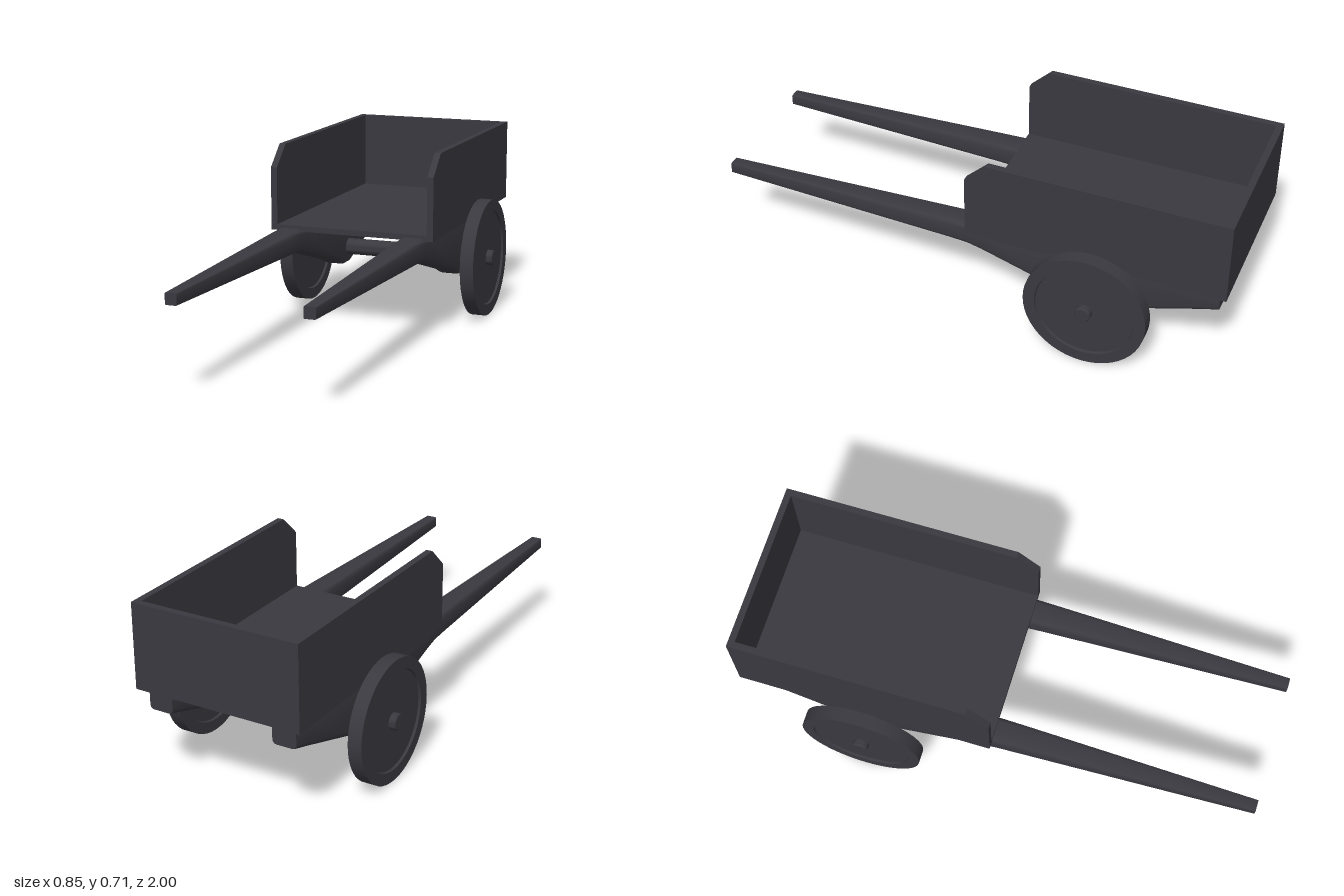
import * as THREE from 'three';
import { toCreasedNormals } from 'three/addons/utils/BufferGeometryUtils.js';

const AXLE_Y = 0.234, AXLE_Z = -0.505;

// Rounded rectangle ring, counter-clockwise seen from +z
function ring({ z, x0, x1, y0, y1, r }) {
  const points = [];
  const corners = [[x1 - r, y0 + r, -90], [x1 - r, y1 - r, 0], [x0 + r, y1 - r, 90], [x0 + r, y0 + r, 180]];
  for (const [cx, cy, start] of corners) {
    for (let k = 0; k <= 3; k++) {
      const a = THREE.MathUtils.degToRad(start + k * 30);
      points.push([cx + r * Math.cos(a), cy + r * Math.sin(a), z]);
    }
  }
  return points;
}

// Skin rings ordered from low to high z and close both ends
function loft(sections) {
  const rings = sections.map(ring);
  const n = rings[0].length, last = (rings.length - 1) * n;
  const index = [];
  for (let i = 0; i < rings.length - 1; i++) {
    for (let j = 0; j < n; j++) {
      const a = i * n + j, b = i * n + (j + 1) % n;
      index.push(a, b, b + n, a, b + n, a + n);
    }
  }
  for (let j = 1; j < n - 1; j++) {
    index.push(0, j + 1, j, last, last + j, last + j + 1);
  }
  const geometry = new THREE.BufferGeometry();
  geometry.setAttribute('position', new THREE.Float32BufferAttribute(rings.flat(2), 3));
  geometry.setIndex(index);
  return toCreasedNormals(geometry, 0.6);
}

// Turned part whose axis lies along x
function turned(profile, segments) {
  const geometry = new THREE.LatheGeometry(profile.map(([r, h]) => new THREE.Vector2(r, h)), segments);
  geometry.rotateZ(-Math.PI / 2);
  return toCreasedNormals(geometry, 0.6);
}

export function createModel() {
  const cart = new THREE.Group();
  cart.name = 'handcart';
  const darkWood = new THREE.MeshStandardMaterial({ color: 0x3a3940 });
  darkWood.name = 'dark wood';

  const add = (name, geometry, x = 0, y = 0, z = 0) => {
    const mesh = new THREE.Mesh(geometry, darkWood);
    mesh.name = name;
    mesh.position.set(x, y, z);
    cart.add(mesh);
  };

  // Open-fronted box
  add('floor', new THREE.BoxGeometry(0.61, 0.022, 0.965), 0, 0.401, -0.4925);
  add('backPanel', new THREE.BoxGeometry(0.61, 0.325, 0.025), 0, 0.5525, -0.9875);

  // Side panels with a clipped front corner
  const side = new THREE.Shape([[-1, 0.39], [-0.01, 0.39], [-0.01, 0.635], [-0.095, 0.715], [-1, 0.715]]
    .map(([z, y]) => new THREE.Vector2(z, y)));
  const panel = new THREE.ExtrudeGeometry(side, { depth: 0.025, bevelEnabled: false });
  panel.rotateY(-Math.PI / 2);
  add('leftPanel', panel, 0.33);
  add('rightPanel', panel, -0.305);

  // Shafts: deep at the axle, tapering to the grips
  const shaft = loft([
    { z: -0.97, x0: -0.047, x1: 0.047, y0: 0.31, y1: 0.392, r: 0.015 },
    { z: -0.94, x0: -0.05, x1: 0.05, y0: 0.318, y1: 0.395, r: 0.018 },
    { z: -0.9, x0: -0.05, x1: 0.05, y0: 0.288, y1: 0.395, r: 0.02 },
    { z: -0.6, x0: -0.05, x1: 0.05, y0: 0.19, y1: 0.395, r: 0.02 },
    { z: -0.53, x0: -0.05, x1: 0.05, y0: 0.164, y1: 0.395, r: 0.02 },
    { z: -0.47, x0: -0.05, x1: 0.05, y0: 0.164, y1: 0.395, r: 0.02 },
    { z: -0.4, x0: -0.05, x1: 0.05, y0: 0.193, y1: 0.395, r: 0.02 },
    { z: -0.06, x0: -0.05, x1: 0.05, y0: 0.296, y1: 0.398, r: 0.02 },
    { z: 0, x0: -0.05, x1: 0.05, y0: 0.311, y1: 0.4, r: 0.018 },
    { z: 0.08, x0: -0.048, x1: 0.048, y0: 0.315, y1: 0.398, r: 0.016 },
    { z: 1, x0: -0.022, x1: 0.022, y0: 0.333, y1: 0.376, r: 0.004 },
  ].map((s) => (s.z === -0.94 ? { ...s, y0: 0.301 } : s)));
  add('leftShaft', shaft, 0.25);
  add('rightShaft', shaft, -0.25);

  // Axle with slimmer ends
  add('axle', turned([
    [0, -0.425], [0.026, -0.425], [0.031, -0.42], [0.031, -0.36], [0.033, -0.345],
    [0.033, 0.345], [0.031, 0.36], [0.031, 0.42], [0.026, 0.425], [0, 0.425],
  ], 24), 0, AXLE_Y, AXLE_Z);

  // Solid wheels with a raised rim
  const wheel = turned([
    [0, -0.018], [0.187, -0.018], [0.19, -0.027], [0.234, -0.027],
    [0.234, 0.027], [0.19, 0.027], [0.187, 0.018], [0, 0.018],
  ], 48);
  add('leftWheel', wheel, 0.382, AXLE_Y, AXLE_Z);
  add('rightWheel', wheel, -0.382, AXLE_Y, AXLE_Z);

  return cart;
}
